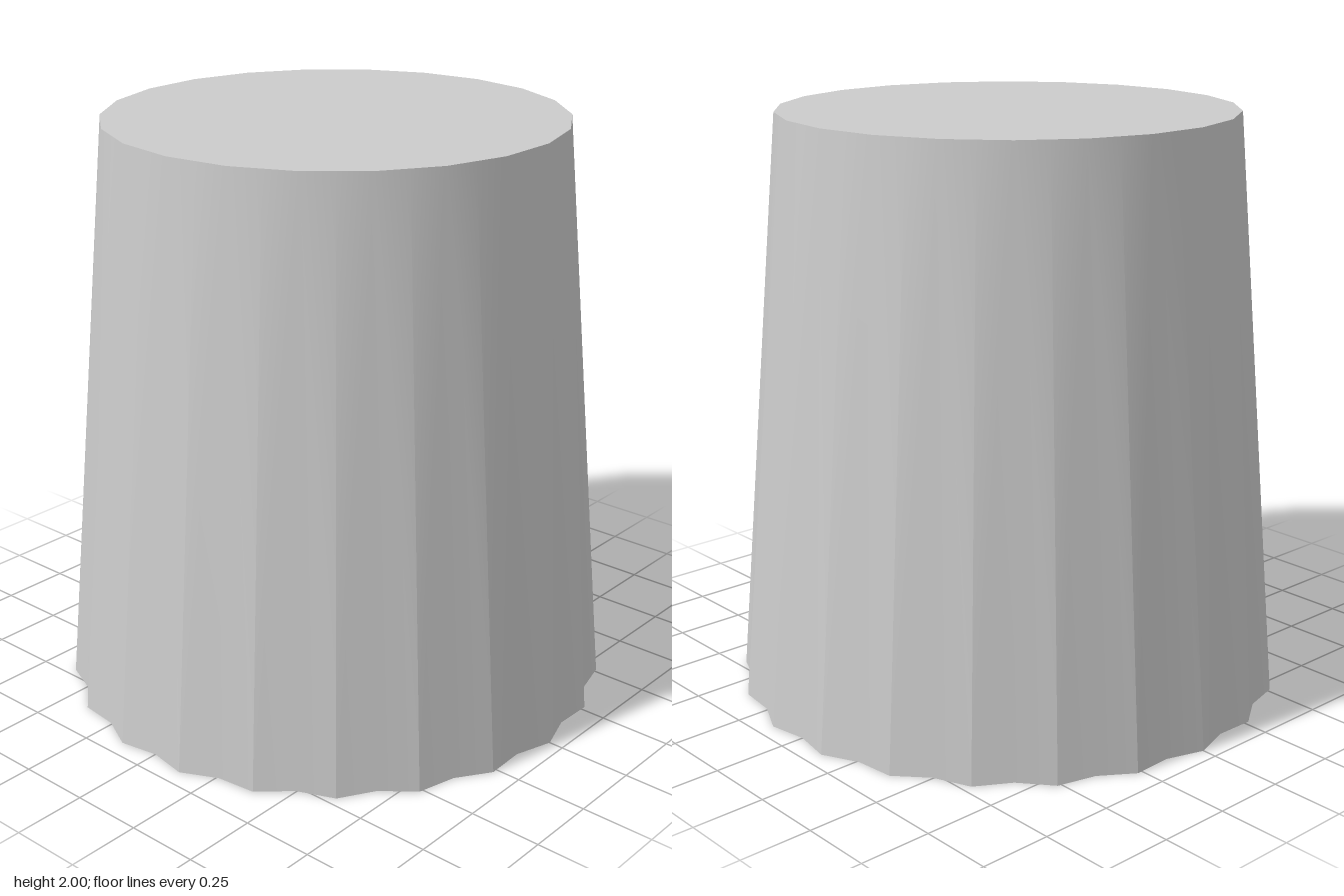
import * as THREE from 'three';
import { mergeGeometries } from 'three/addons/utils/BufferGeometryUtils.js';

const FLUTES = 22;
const STEP = (Math.PI * 2) / FLUTES;
const HEIGHT = 2;
const WALL = 0.015;
const RIDGE = 0.95, VALLEY = 0.917; // radii at the open rim
const TOP = 0.775; // corner radius of the closed end
const TOP_MID = TOP * Math.cos(STEP / 2); // middle of each side of the closed end

const material = new THREE.MeshStandardMaterial({ color: 0xcccccc });

// Tapered wall of fluted panels, each smooth inside and creased along its ridges
function flutedWall(inset, topY, inward) {
  const panels = [];
  for (let k = 0; k < FLUTES; k++) {
    const points = [];
    const add = (r, halfSteps, y) => {
      const a = (k + halfSteps / 2) * STEP;
      points.push((r - inset) * Math.cos(a), y, (r - inset) * Math.sin(a));
    };
    [RIDGE, VALLEY, RIDGE].forEach((r, i) => add(r, i, 0));
    [TOP_MID, TOP, TOP_MID].forEach((r, i) => add(r, i, topY));
    const faces = [0, 4, 1, 1, 4, 2, 0, 3, 4, 2, 4, 5];
    const panel = new THREE.BufferGeometry();
    panel.setAttribute('position', new THREE.Float32BufferAttribute(points, 3));
    panel.setIndex(inward ? faces.reverse() : faces);
    panel.computeVertexNormals();
    panels.push(panel);
  }
  return mergeGeometries(panels);
}

// Scalloped outline of the open rim
function rimOutline(inset) {
  return Array.from({ length: FLUTES * 2 }, (_, i) => {
    const r = (i % 2 ? VALLEY : RIDGE) - inset;
    const a = (i * STEP) / 2;
    return new THREE.Vector2(r * Math.cos(a), r * Math.sin(a));
  });
}

export function createModel() {
  const group = new THREE.Group();
  group.name = 'upturnedCup';
  const add = (name, geometry) => {
    const mesh = new THREE.Mesh(geometry, material);
    mesh.name = name;
    group.add(mesh);
  };

  add('outerWall', flutedWall(0, HEIGHT, false));
  add('innerWall', flutedWall(WALL, HEIGHT - WALL, true));

  // Closed end, outside and inside
  const disc = (r) => new THREE.CircleGeometry(r, FLUTES, STEP / 2);
  add('closedEnd', disc(TOP).rotateX(-Math.PI / 2).translate(0, HEIGHT, 0));
  add('innerCeiling', disc(TOP - WALL).rotateX(Math.PI / 2).translate(0, HEIGHT - WALL, 0));

  // Thin scalloped lip joining both walls
  const lip = new THREE.Shape(rimOutline(0));
  lip.holes.push(new THREE.Path(rimOutline(WALL)));
  add('rim', new THREE.ShapeGeometry(lip).rotateX(Math.PI / 2));

  return group;
}
